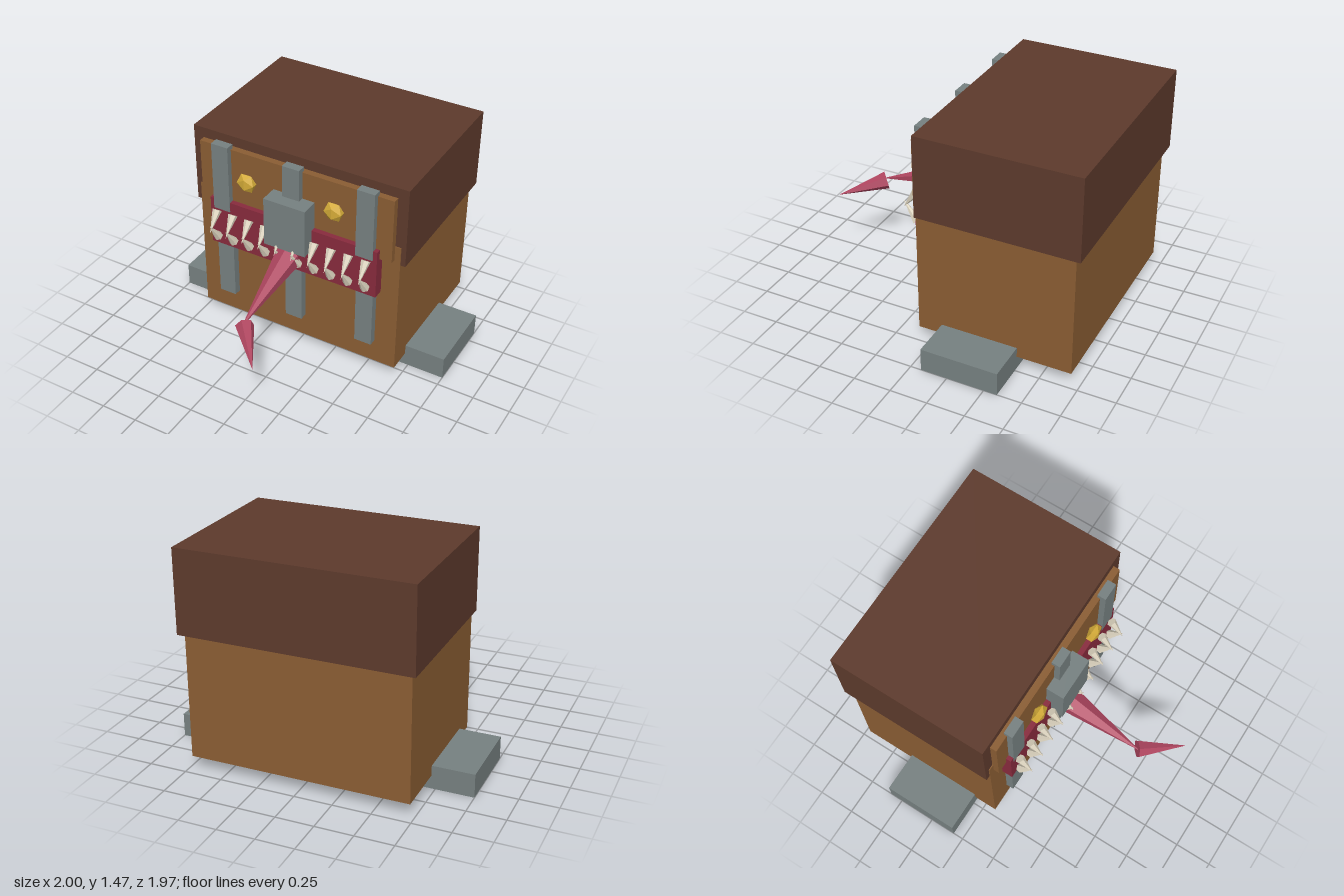
import * as THREE from 'three';

const paint = (name, color) => {
  const m = new THREE.MeshStandardMaterial({ color });
  m.name = name;
  return m;
};

export function createModel() {
  const model = new THREE.Group();
  model.name = 'chestCreature';
  const wood = paint('wood', 0x8a5d33);
  const darkWood = paint('dark wood', 0x5d3a2c);
  const iron = paint('iron', 0x768080);
  const gum = paint('gum', 0x882b3d);
  const flesh = paint('tongue flesh', 0xae455f);
  const ivory = paint('ivory', 0xe2d9c4);
  const gold = paint('gold', 0xd4ab38);

  const add = (name, geometry, material) => {
    const mesh = new THREE.Mesh(geometry, material);
    mesh.name = name;
    model.add(mesh);
    return mesh;
  };
  // Box given by its lower and upper corners
  const box = (name, material, [x0, y0, z0], [x1, y1, z1]) => {
    const mesh = add(name, new THREE.BoxGeometry(x1 - x0, y1 - y0, z1 - z0), material);
    mesh.position.set((x0 + x1) / 2, (y0 + y1) / 2, (z0 + z1) / 2);
  };
  // Faceted geometry with separate face normals
  const faceted = (geometry) => {
    const g = geometry.index ? geometry.toNonIndexed() : geometry;
    g.computeVertexNormals();
    return g;
  };
  // Faceted cone from the centre of its base to its tip
  const spike = (name, material, base, tip, radius, sides) => {
    const a = new THREE.Vector3(...base);
    const b = new THREE.Vector3(...tip);
    const dir = b.clone().sub(a);
    const mesh = add(name, faceted(new THREE.ConeGeometry(radius, dir.length(), sides)), material);
    mesh.position.copy(a).add(b).multiplyScalar(0.5);
    mesh.quaternion.setFromUnitVectors(new THREE.Vector3(0, 1, 0), dir.normalize());
  };

  // Chest
  box('body', wood, [-0.725, 0.09, -0.948], [0.725, 1.05, 0.09]);
  box('lid', darkWood, [-0.757, 0.92, -0.985], [0.757, 1.47, 0.084]);
  box('lidPanel', wood, [-0.685, 0.95, 0.07], [0.685, 1.4, 0.128]);
  box('mouth', gum, [-0.603, 0.675, 0.07], [0.603, 1.02, 0.163]);

  // Iron straps and lock
  for (const x of [-0.515, 0, 0.515]) {
    box('upperStrap', iron, [x - 0.06, 0.95, 0.108], [x + 0.06, 1.43, 0.167]);
    box('lowerStrap', iron, [x - 0.06, 0.26, 0.085], [x + 0.06, 0.74, 0.142]);
  }
  box('lock', iron, [-0.147, 0.87, 0.12], [0.147, 1.21, 0.25]);

  // Feet and eyes
  for (const s of [-1, 1]) {
    box('foot', iron, [s * 0.775 - 0.225, 0, -0.588], [s * 0.775 + 0.225, 0.157, -0.072]);
    const eye = add('eye', faceted(new THREE.IcosahedronGeometry(0.07, 0)), gold);
    eye.position.set(s * 0.31, 1.23, 0.182);
    eye.scale.z = 0.55;
  }

  // Two rows of crossing teeth
  for (let i = 0; i < 10; i++) {
    const x = (i - 4.5) * 0.12;
    spike('upperTooth', ivory, [x, 0.952, 0.187], [x, 0.825, 0.28], 0.031, 6);
    spike('lowerTooth', ivory, [x, 0.745, 0.187], [x, 0.875, 0.28], 0.031, 6);
  }

  // Tongue in two tapering pieces
  spike('tongueRoot', flesh, [0, 0.79, 0.2], [0, 0.615, 0.76], 0.088, 6);
  spike('tongueTip', flesh, [0.004, 0.61, 0.73], [0.215, 0.54, 0.98], 0.06, 6);

  return model;
}
